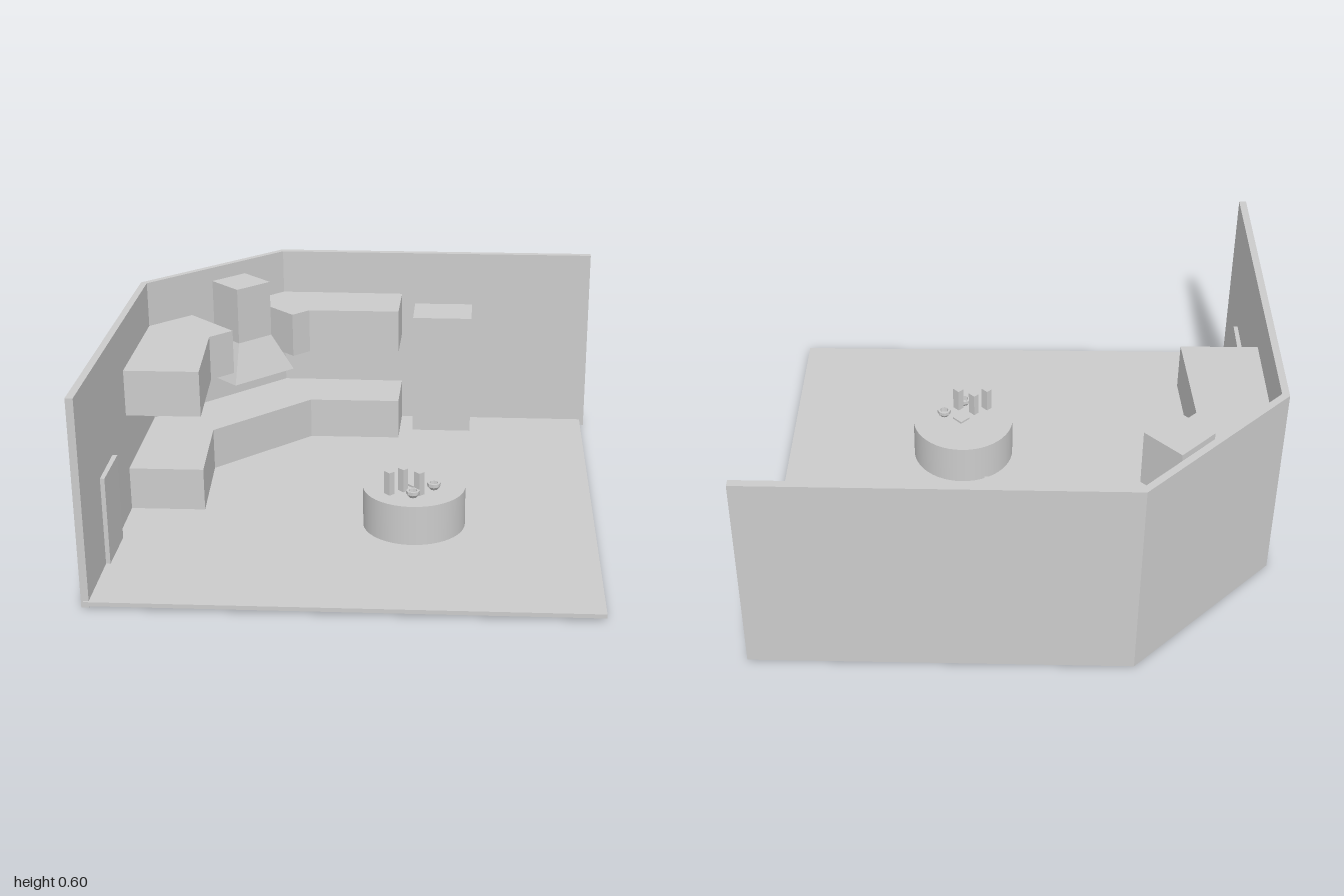
import * as THREE from 'three';

export function createModel() {
  const room = new THREE.Group();
  room.name = 'kitchenRoom';
  const grey = new THREE.MeshStandardMaterial({ color: 0xcccccc, flatShading: true });
  const smooth = new THREE.MeshStandardMaterial({ color: 0xcccccc });

  function add(name, geometry, x = 0, y = 0, z = 0, material = grey) {
    const mesh = new THREE.Mesh(geometry, material);
    mesh.name = name;
    mesh.position.set(x, y, z);
    room.add(mesh);
    return mesh;
  }

  // Upright prism over a plan outline of [x, z] corners
  function prism(name, plan, y0, y1) {
    const shape = new THREE.Shape(plan.map(([x, z]) => new THREE.Vector2(x, -z)));
    const geometry = new THREE.ExtrudeGeometry(shape, { depth: y1 - y0, bevelEnabled: false });
    geometry.rotateX(-Math.PI / 2);
    return add(name, geometry, 0, y0, 0);
  }

  // Floor and the three walls
  prism('floor', [[-1, -0.133], [-0.28, -0.85], [0.275, -0.85], [0.98, -0.13], [-0.015, 0.855]], 0.008, 0.02);
  prism('backWall', [[-0.283, -0.86], [0.28, -0.86], [0.268, -0.84], [-0.275, -0.84]], 0, 0.6);
  prism('rightWall', [[-0.283, -0.86], [-0.275, -0.84], [-0.985, -0.127], [-1, -0.142]], 0, 0.6);
  prism('leftWall', [[0.28, -0.86], [1, -0.13], [0.984, -0.114], [0.268, -0.84]], 0, 0.6);

  // Door panel on the angled wall
  prism('door', [[-0.835, -0.29], [-0.82, -0.275], [-0.7, -0.393], [-0.716, -0.408]], 0.02, 0.28);

  // Base counter, and wall cabinets on either side of the hood
  const rightRun = [[-0.275, -0.842], [-0.57, -0.55], [-0.41, -0.39], [-0.2, -0.625]];
  const leftRun = [[0.2, -0.625], [0.405, -0.42], [0.545, -0.555], [0.268, -0.842]];
  prism('counter', [...rightRun, ...leftRun], 0.02, 0.15);
  prism('rightWallCabinet', [...rightRun, [-0.11, -0.625], [-0.11, -0.842]], 0.32, 0.46);
  prism('leftWallCabinet', [[0.13, -0.842], [0.13, -0.625], ...leftRun], 0.32, 0.46);

  // Extractor hood: a box whose lower rings flare out
  const hood = new THREE.BoxGeometry(0.13, 0.295, 0.13, 1, 2, 1);
  const p = hood.attributes.position;
  for (let i = 0; i < p.count; i++) {
    if (p.getY(i) < -0.1) {
      p.setX(i, Math.sign(p.getX(i)) * 0.118);
      p.setZ(i, Math.sign(p.getZ(i)) * 0.11);
    } else if (p.getY(i) < 0.1) {
      p.setY(i, -0.03);
    }
  }
  add('extractorHood', hood, 0.014, 0.4225, -0.738);

  // Refrigerator
  prism('refrigerator', [[0.437, -0.385], [0.57, -0.25], [0.68, -0.36], [0.547, -0.493]], 0.05, 0.44);

  // Round table with a plate, jars and cups
  add('roundTable', new THREE.CylinderGeometry(0.15, 0.15, 0.12, 48), -0.008, 0.08, 0.1, smooth)
    .geometry = new THREE.CylinderGeometry(0.15, 0.15, 0.12, 48);
  add('plate', new THREE.BoxGeometry(0.035, 0.006, 0.035), -0.005, 0.143, 0.105);
  for (const [x, z, w] of [[-0.1, 0.093, 0.019], [-0.055, 0.103, 0.018], [-0.038, 0.153, 0.02]]) {
    add('jar', new THREE.BoxGeometry(w, 0.07, 0.024), x, 0.175, z);
  }
  const cup = [[0, 0], [0.012, 0], [0.02, 0.01], [0.02, 0.02], [0.013, 0.02], [0.011, 0.006], [0, 0.006]];
  const cupProfile = cup.map(([r, y]) => new THREE.Vector2(r, y));
  for (const x of [-0.064, 0.019]) {
    add('cup', new THREE.LatheGeometry(cupProfile, 8), x, 0.14, 0.155);
  }
  return room;
}
